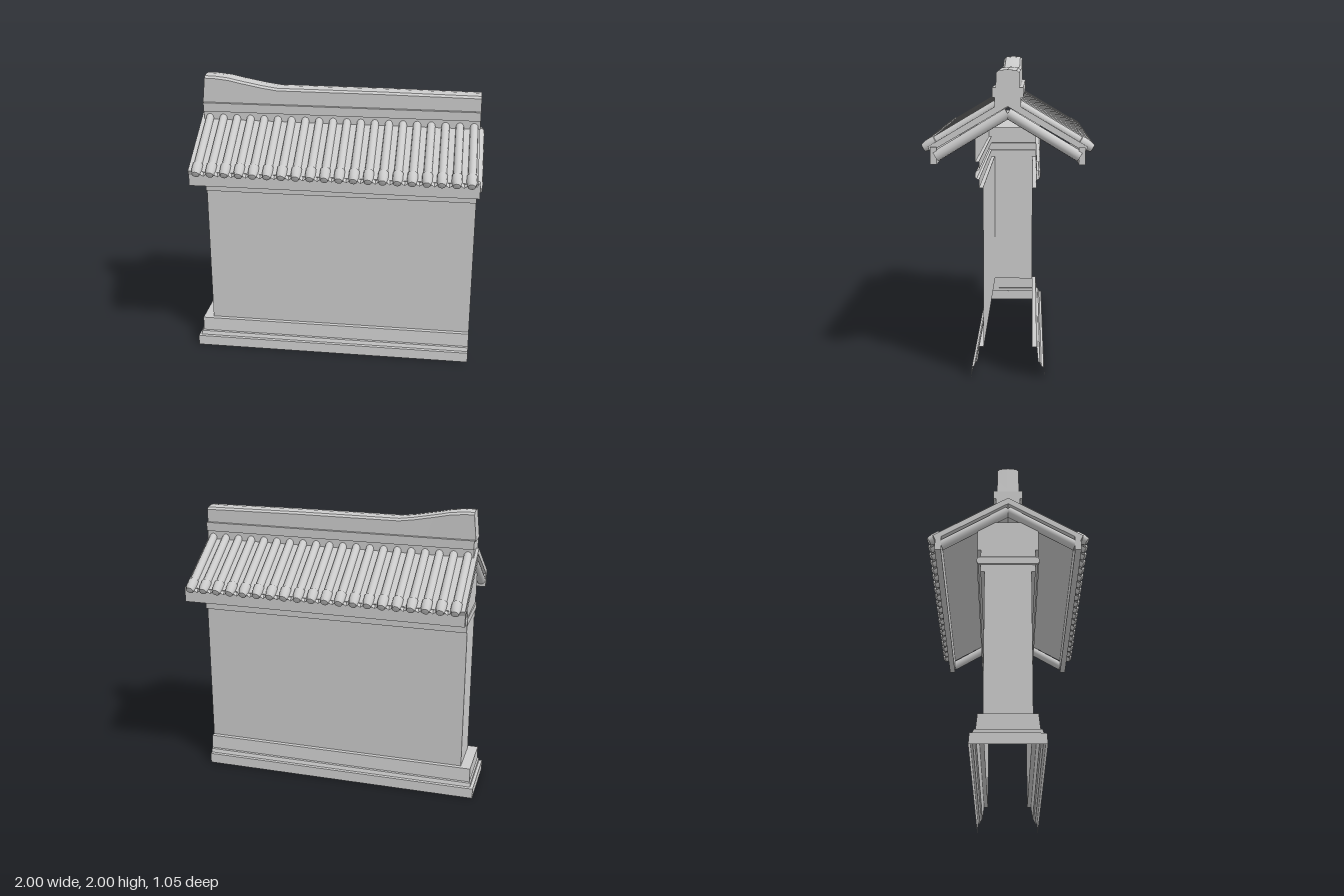
import * as THREE from 'three';
import { toCreasedNormals } from 'three/addons/utils/BufferGeometryUtils.js';

const grey = new THREE.MeshStandardMaterial({ color: 0xcccccc });
const greyOpen = new THREE.MeshStandardMaterial({ color: 0xcccccc, side: THREE.DoubleSide });

export function createModel() {
  const model = new THREE.Group();

  const add = (name, geometry, material = grey, parent = model) => {
    const mesh = new THREE.Mesh(geometry, material);
    mesh.name = name;
    parent.add(mesh);
    return mesh;
  };

  // Skin joining rows of [x, y, z] points
  const loft = (rows) => {
    const n = rows[0].length;
    const index = [];
    for (let i = 0; i < rows.length - 1; i++) {
      for (let j = 0; j < n - 1; j++) {
        const a = i * n + j, b = a + n;
        index.push(a, a + 1, b, a + 1, b + 1, b);
      }
    }
    const geometry = new THREE.BufferGeometry();
    geometry.setAttribute('position', new THREE.Float32BufferAttribute(rows.flat(2), 3));
    geometry.setIndex(index);
    return toCreasedNormals(geometry, 0.5);
  };

  // Prism with a [z, y] section running from x0 to x1
  const prism = (points, x0, x1) => {
    const shape = new THREE.Shape(points.map(([z, y]) => new THREE.Vector2(z, y)));
    return new THREE.ExtrudeGeometry(shape, { depth: x1 - x0, bevelEnabled: false })
      .rotateY(-Math.PI / 2).translate(x1, 0, 0);
  };

  // Hollow wall, open at +x and underneath: rows of [height, half depth, closed end x]
  const END = 0.97;
  const shell = (name, profile) => add(name, loft(profile.map(([y, h, x]) =>
    [[END, y, h], [x, y, h], [x, y, -h], [END, y, -h]])), greyOpen);

  shell('basePlinth', [[0, 0.23, -1], [0.07, 0.225, -1], [0.075, 0.21, -0.98], [0.1, 0.2, -0.98],
    [0.105, 0.19, -0.97], [0.2, 0.18, -0.97], [0.2, 0.15, -0.9]]);
  shell('wallBody', [[0.2, 0.15, -0.9], [1.2, 0.15, -0.9]]);
  shell('corniceMoulding', [[1.2, 0.15, -0.9], [1.2, 0.175, -0.9], [1.25, 0.175, -0.9],
    [1.255, 0.19, -0.905], [1.27, 0.2, -0.905], [1.29, 0.2, -0.905], [1.305, 0.19, -0.905],
    [1.31, 0.175, -0.9], [1.36, 0.175, -0.9]]);
  shell('wallHead', [[1.36, 0.175, -0.9], [1.36, 0.197, -0.9], [1.57, 0.197, -0.9], [1.57, 0, -0.9]]);

  // Roof slopes, one for each side
  const SLOPE = 0.54;
  const TILES = 20, PITCH = 0.0947, FIRST = -0.87;
  const tileShape = new THREE.LatheGeometry([
    [0.027, 0], [0.028, 0.44], [0.034, 0.443], [0.034, 0.495], [0.025, 0.53], [0, 0.537],
  ].map(([r, t]) => new THREE.Vector2(r, t)), 12);
  const tileGeometry = toCreasedNormals(tileShape, 0.6);
  const barGeometry = new THREE.CylinderGeometry(0.033, 0.033, 0.51, 12).translate(0, 0.255, 0);

  for (const s of [1, -1]) {
    const slope = new THREE.Group();
    slope.name = s > 0 ? 'frontRoofSlope' : 'backRoofSlope';
    model.add(slope);
    const tilt = s * (Math.PI / 2 + SLOPE);

    add('roofDeck', prism([[0, 1.74], [s * 0.485, 1.452], [s * 0.47, 1.42], [0, 1.695]], -0.93, END), grey, slope);
    add('eaveBoard', prism([[s * 0.43, 1.345], [s * 0.47, 1.345], [s * 0.47, 1.45], [s * 0.43, 1.45]],
      -0.93, 0.985), grey, slope);

    for (let i = 0; i < TILES; i++) {
      const x = FIRST + i * PITCH;
      const tile = add('roofTile', tileGeometry, grey, slope);
      tile.position.set(x, 1.713, s * 0.06);
      tile.rotation.x = tilt;

      // Pointed drip between neighbouring tiles
      if (i < TILES - 1) {
        const m = x + PITCH / 2;
        add('dripTile', loft([
          [[m - 0.03, 1.465, s * 0.47], [m, 1.455, s * 0.47], [m + 0.03, 1.465, s * 0.47]],
          [[m - 0.03, 1.45, s * 0.505], [m, 1.425, s * 0.505], [m + 0.03, 1.45, s * 0.505]],
        ]), greyOpen, slope);
      }
    }

    // Round rafters under the two gable edges
    for (const x of [-0.895, 0.967]) {
      const bar = add('gableRafter', barGeometry, grey, slope);
      bar.position.set(x, 1.655, 0);
      bar.rotation.x = tilt;
    }
  }

  // Ridge course
  add('ridgeBase', prism([[-0.08, 1.68], [0, 1.72], [0.08, 1.68], [0.08, 1.75], [0.095, 1.75],
    [0.095, 1.81], [-0.095, 1.81], [-0.095, 1.75], [-0.08, 1.75]], -0.91, END));

  // Ridge crest sweeping up at the closed end
  const section = (x, h, lean = 0) => [[-0.072, 1.8], [-0.07, h - 0.02], [-0.055, h - 0.006],
    [0, h], [0.055, h - 0.006], [0.07, h - 0.02], [0.072, 1.8]]
    .map(([z, y]) => [x - (y < 1.81 ? lean : 0), y, z]);
  const stations = [[-0.9, 1.995, 0.018], [-0.84, 1.995], [-0.74, 1.985], [-0.65, 1.966],
    [-0.5, 1.938], [-0.4, 1.924], [0.3, 1.924], [END, 1.917]];
  const rows = stations.map((p) => section(...p));
  const cap = (x) => rows[0].map(() => [x, 1.8, 0]);
  add('ridgeCrest', loft([cap(-0.918), ...rows, cap(END)]), greyOpen);

  return model;
}
